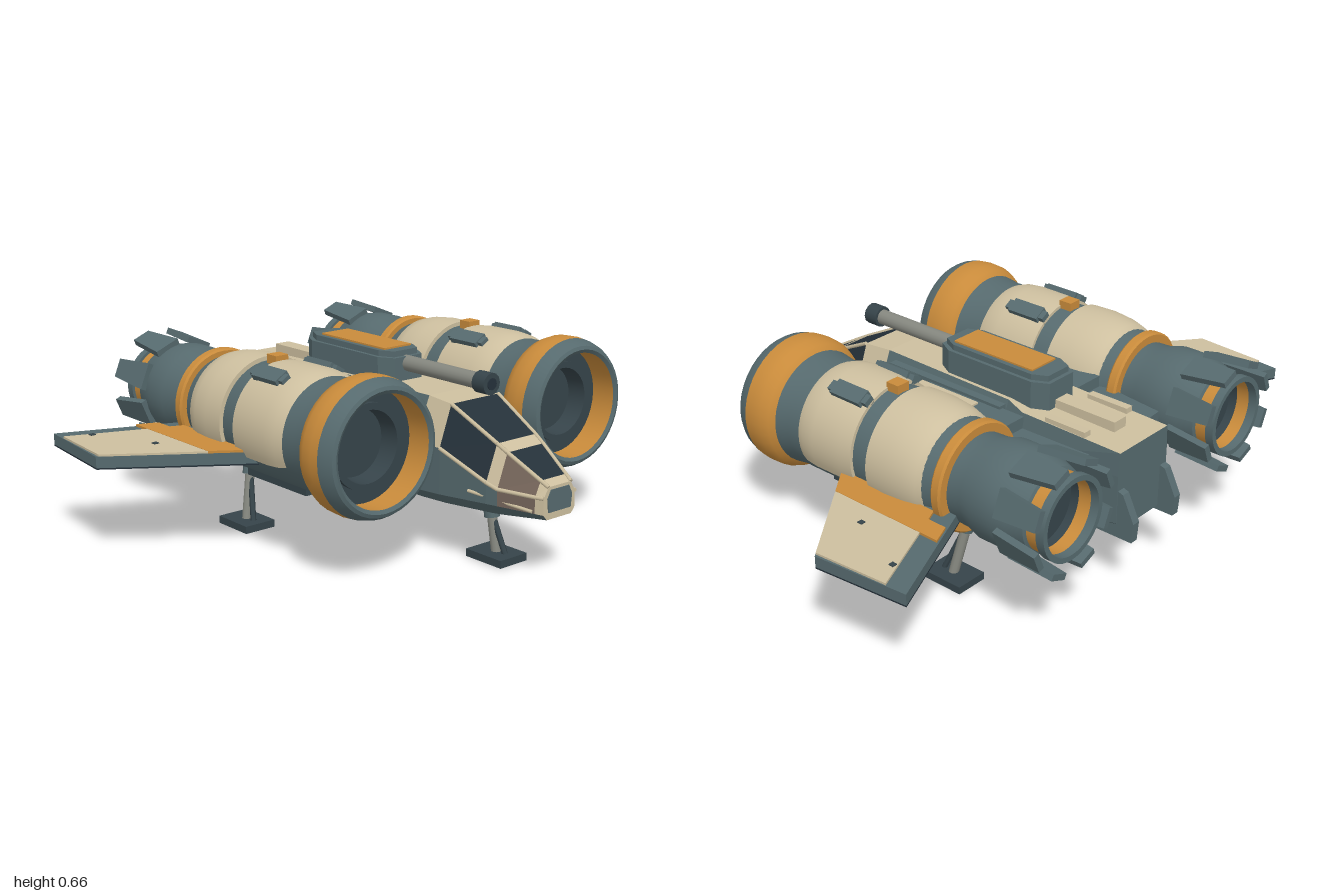
import * as THREE from 'three';
import { toCreasedNormals } from 'three/addons/utils/BufferGeometryUtils.js';

const material = (name, color) => {
  const m = new THREE.MeshStandardMaterial({ color });
  m.name = name;
  return m;
};
const slate = material('slate', 0x566a6e);
const dark = material('dark slate', 0x36444a);
const glass = material('dark glass', 0x25313a);
const brown = material('warm window', 0x75655a);
const cream = material('cream', 0xcdbf9f);
const orange = material('orange', 0xc98b3b);
const grey = material('strut grey', 0x85877f);

function add(parent, name, geo, mat, x = 0, y = 0, z = 0) {
  const mesh = new THREE.Mesh(geo, mat);
  mesh.name = name;
  mesh.position.set(x, y, z);
  parent.add(mesh);
  return mesh;
}
const box = (parent, name, mat, w, h, d, x, y, z) =>
  add(parent, name, new THREE.BoxGeometry(w, h, d), mat, x, y, z);

// Rod between two points
function bar(parent, name, mat, a, b, r, sides = 10) {
  const A = new THREE.Vector3(...a), B = new THREE.Vector3(...b);
  const mesh = add(parent, name, new THREE.CylinderGeometry(r, r, A.distanceTo(B), sides), mat);
  mesh.position.copy(A).lerp(B, 0.5);
  mesh.quaternion.setFromUnitVectors(new THREE.Vector3(0, 1, 0), B.sub(A).normalize());
  return mesh;
}

// Turned part along z, from [z, radius] points listed back to front on the outside
function turned(parent, name, mat, pts, arc = Math.PI) {
  const geo = new THREE.LatheGeometry(pts.map(([z, r]) => new THREE.Vector2(r, z)), 40, Math.PI - arc, arc * 2);
  geo.rotateX(Math.PI / 2);
  return add(parent, name, toCreasedNormals(geo, 0.6), mat);
}

// Flat plate from an [x, z] plan outline
function plate(parent, name, mat, pts, y, h, s) {
  const shape = new THREE.Shape(pts.map(([x, z]) => new THREE.Vector2(s * x, -z)));
  const geo = new THREE.ExtrudeGeometry(shape, { depth: h, bevelEnabled: false });
  geo.rotateX(-Math.PI / 2);
  return add(parent, name, geo, mat, 0, y, 0);
}

// Faceted hull through eight-sided sections, with one colour per facet
function hull(parent, name, sections, paint) {
  const rings = sections.map(([z, wb, yb, wm, y1, y2, wt, yt]) => {
    const half = [[wb, yb, z], [wm, y1, z], [wm, y2, z], [wt, yt, z]];
    return [...half, ...half.map(([x, y, k]) => [-x, y, k]).reverse()];
  });
  const faces = new Map();
  const tri = (m, ...p) => faces.set(m, [...(faces.get(m) || []), ...p.flat()]);
  for (let i = 0; i < rings.length - 1; i++) {
    for (let j = 0; j < 8; j++) {
      const k = (j + 1) % 8, f = rings[i], b = rings[i + 1], m = paint(i, j);
      tri(m, f[j], b[j], b[k]);
      tri(m, f[j], b[k], f[k]);
    }
  }
  const first = rings[0], last = rings[rings.length - 1];
  for (let j = 1; j < 7; j++) {
    tri(cream, first[0], first[j], first[j + 1]);
    tri(slate, last[0], last[j + 1], last[j]);
  }
  for (const [m, p] of faces) {
    const geo = new THREE.BufferGeometry();
    geo.setAttribute('position', new THREE.Float32BufferAttribute(p, 3));
    geo.computeVertexNormals();
    add(parent, `${name} ${m.name}`, geo, m);
  }
}

function engine(parent, s) {
  const g = new THREE.Group();
  g.name = s > 0 ? 'leftEngine' : 'rightEngine';
  g.position.set(s * 0.435, 0.432, 0);
  parent.add(g);

  // Nozzle, body and intake
  turned(g, 'nozzleInside', dark, [[-0.68, 0], [-0.68, 0.12], [-0.71, 0.12]]);
  turned(g, 'nozzleGlow', orange, [[-0.71, 0.12], [-0.755, 0.121]]);
  turned(g, 'nozzleRim', slate, [[-0.755, 0.121], [-0.785, 0.122], [-0.785, 0.14], [-0.755, 0.14], [-0.755, 0.13]]);
  turned(g, 'nozzleBand', orange, [[-0.755, 0.13], [-0.71, 0.13]]);
  turned(g, 'nozzle', slate, [[-0.71, 0.13], [-0.705, 0.14], [-0.65, 0.158], [-0.6, 0.167], [-0.52, 0.167], [-0.47, 0.152], [-0.415, 0.15]]);
  turned(g, 'rearRing', orange, [[-0.415, 0.15], [-0.415, 0.178], [-0.408, 0.184], [-0.382, 0.184], [-0.375, 0.178], [-0.375, 0.15]]);
  turned(g, 'body', slate, [[-0.375, 0.16], [-0.34, 0.17], [-0.29, 0.188], [0.19, 0.19], [0.25, 0.189], [0.305, 0.197]]);
  turned(g, 'cowlBand', orange, [[0.305, 0.197], [0.32, 0.215], [0.35, 0.227], [0.39, 0.229], [0.42, 0.226]]);
  turned(g, 'intakeLip', slate, [[0.42, 0.226], [0.45, 0.218], [0.468, 0.207], [0.473, 0.195], [0.465, 0.183]]);
  turned(g, 'intakeWall', orange, [[0.465, 0.183], [0.37, 0.186]]);
  turned(g, 'intakeFan', dark, [[0.37, 0.187], [0.37, 0.14], [0.39, 0.14], [0.39, 0.118], [0.32, 0.112], [0.32, 0]]);

  // Cream upper shells
  turned(g, 'frontShell', cream, [[-0.05, 0.185], [-0.05, 0.2], [0, 0.205], [0.12, 0.206], [0.17, 0.201], [0.2, 0.19]], 1.98);
  turned(g, 'rearShell', cream, [[-0.335, 0.17], [-0.315, 0.186], [-0.27, 0.198], [-0.2, 0.205], [-0.12, 0.203], [-0.12, 0.185]], 1.98);

  // Eight tapered nozzle petals
  const petal = new THREE.BoxGeometry(0.095, 0.022, 0.165);
  const p = petal.attributes.position;
  for (let i = 0; i < p.count; i++) if (p.getZ(i) < 0) p.setX(i, p.getX(i) * 0.7);
  for (let i = 0; i < 8; i++) {
    const pivot = new THREE.Group();
    pivot.name = 'petal';
    pivot.rotation.z = Math.PI / 8 + i * Math.PI / 4;
    g.add(pivot);
    add(pivot, 'petalPlate', petal, slate, 0, 0.174, -0.709).rotation.x = 0.07;
  }

  // Top fittings and belly box
  for (const t of [-1, 1]) {
    const pivot = new THREE.Group();
    pivot.name = 'topPod';
    pivot.rotation.z = t * 0.54;
    g.add(pivot);
    box(pivot, 'podBlock', slate, 0.055, 0.035, 0.13, 0, 0.205, 0.035);
    box(pivot, 'podEnds', slate, 0.035, 0.03, 0.17, 0, 0.204, 0.035);
  }
  box(g, 'topMarker', orange, 0.05, 0.03, 0.05, 0, 0.202, -0.07);
  box(g, 'bellyBox', dark, 0.15, 0.04, 0.315, 0, -0.177, 0.01);
}

function wing(parent, s) {
  const g = new THREE.Group();
  g.name = s > 0 ? 'leftWing' : 'rightWing';
  g.position.y = 0.012;
  g.rotation.z = -s * 0.013;
  parent.add(g);
  const outline = [[0.45, 0.13], [0.64, -0.01], [1, -0.28], [0.965, -0.615], [0.585, -0.45], [0.45, -0.39]];
  plate(g, 'wingSlab', slate, outline, 0.325, 0.038, s);
  plate(g, 'wingUnderside', glass, outline, 0.32, 0.005, s);
  plate(g, 'wingPanel', cream, [[0.715, -0.068], [0.992, -0.276], [0.97, -0.54], [0.715, -0.43]], 0.363, 0.007, s);
  plate(g, 'wingStripe', orange, [[0.6, 0.018], [0.715, -0.068], [0.715, -0.5], [0.645, -0.47], [0.645, -0.4], [0.6, -0.38]], 0.363, 0.008, s);
  for (const [x, z] of [[0.79, -0.26], [0.89, -0.49]]) box(g, 'wingHatch', dark, 0.018, 0.006, 0.018, s * x, 0.37, z);
  box(g, 'wingRoot', slate, 0.13, 0.04, 0.33, s * 0.59, 0.345, -0.2);
}

// Foot, leg, collar and brace
function gear(parent, name, x, z, topX, topY, topZ) {
  const g = new THREE.Group();
  g.name = name;
  parent.add(g);
  const at = (t) => [x + (topX - x) * t, 0.02 + (topY - 0.02) * t, z + (topZ - z) * t];
  box(g, 'foot', dark, 0.12, 0.026, 0.16, x, 0.013, z);
  bar(g, 'leg', grey, at(0), at(1), 0.017);
  bar(g, 'collar', slate, at(0.62), at(0.8), 0.026, 8);
  bar(g, 'brace', dark, [x, 0.025, z + 0.04], at(0.7), 0.01, 6);
}

export function createModel() {
  const model = new THREE.Group();
  model.name = 'spacecraft';

  // Fuselage: z, bottom width and y, middle width and its two ys, top width and y
  const sections = [
    [0.79, 0.055, 0.212, 0.07, 0.23, 0.285, 0.05, 0.318],
    [0.762, 0.061, 0.21, 0.08, 0.231, 0.285, 0.056, 0.334],
    [0.64, 0.09, 0.2, 0.122, 0.235, 0.29, 0.08, 0.402],
    [0.6, 0.1, 0.198, 0.132, 0.235, 0.305, 0.086, 0.424],
    [0.41, 0.125, 0.19, 0.155, 0.225, 0.38, 0.105, 0.518],
    [0.3, 0.13, 0.187, 0.16, 0.22, 0.38, 0.1, 0.525],
    [-0.25, 0.13, 0.187, 0.16, 0.22, 0.38, 0.105, 0.52],
    [-0.33, 0.125, 0.19, 0.155, 0.22, 0.4, 0.13, 0.51],
    [-0.72, 0.1, 0.215, 0.13, 0.25, 0.42, 0.125, 0.5],
  ];
  hull(model, 'fuselage', sections, (i, j) => {
    if (j === 0 || j > 5) return slate;
    if (i === 0) return cream;
    if (j === 3) return i === 1 || i === 3 ? glass : cream;
    if (i === 1) return brown;
    if (j === 1 || j === 5) return slate;
    return i === 3 ? glass : i < 5 ? cream : slate;
  });

  // Nose plate and canopy frame
  const nose = new THREE.Shape([[-0.05, 0.235], [0.05, 0.235], [0.055, 0.28], [0.04, 0.308], [-0.04, 0.308], [-0.055, 0.28]]
    .map(([x, y]) => new THREE.Vector2(x, y)));
  add(model, 'nosePlate', new THREE.ExtrudeGeometry(nose, { depth: 0.005, bevelEnabled: false }), slate, 0, 0, 0.788);
  for (const s of [-1, 1]) {
    for (let i = 0; i < 4; i++) {
      const a = sections[i], b = sections[i + 1];
      bar(model, 'canopyRail', cream, [s * a[6], a[7], a[0]], [s * b[6], b[7], b[0]], 0.007, 6);
      bar(model, 'canopySill', cream, [s * a[3], a[5], a[0]], [s * b[3], b[5], b[0]], 0.007, 6);
    }
    bar(model, 'sideTrim', cream, [s * 0.085, 0.238, 0.755], [s * 0.143, 0.265, 0.53], 0.006, 6);

    // Engine pylons, deck edges and tail fins
    plate(model, 'pylon', slate, [[0.13, 0.3], [0.2, 0.33], [0.26, 0.2], [0.29, -0.3], [0.25, -0.6], [0.12, -0.61]], 0.31, 0.15, s);
    box(model, 'upperPylon', slate, 0.13, 0.05, 0.4, s * 0.2, 0.475, -0.14);
    box(model, 'pylonPanel', cream, 0.08, 0.008, 0.25, s * 0.205, 0.502, -0.045);
    box(model, 'deckEdge', slate, 0.03, 0.03, 0.5, s * 0.135, 0.495, 0.0);
    box(model, 'deckBlock', cream, 0.03, 0.025, 0.16, s * 0.11, 0.51, -0.5);
    const fin = new THREE.Shape([[0.5, 0.2], [0.78, 0.2], [0.785, 0.27], [0.74, 0.36], [0.55, 0.42]]
      .map(([z, y]) => new THREE.Vector2(z, y)));
    const finGeo = new THREE.ExtrudeGeometry(fin, { depth: 0.03, bevelEnabled: false });
    finGeo.translate(0, 0, -0.015).rotateY(Math.PI / 2);
    add(model, 'tailFin', finGeo, slate, s * 0.112, 0, 0);

    engine(model, s);
    wing(model, s);
    gear(model, s > 0 ? 'leftGear' : 'rightGear', s * 0.42, -0.29, s * 0.365, 0.27, -0.325);
  }
  gear(model, 'frontGear', 0, 0.52, 0, 0.21, 0.485);

  // Top cannon
  const cannon = new THREE.Group();
  cannon.name = 'cannon';
  model.add(cannon);
  const body = [[-0.09, -0.33], [-0.06, -0.385], [0.06, -0.385], [0.09, -0.33], [0.09, 0.03], [0.06, 0.085], [-0.06, 0.085], [-0.09, 0.03]];
  const capOutline = body.map(([x, z]) => [x * 0.86, -0.15 + (z + 0.15) * 0.94]);
  plate(cannon, 'cannonBody', slate, body, 0.505, 0.1, 1);
  plate(cannon, 'cannonTop', slate, capOutline, 0.605, 0.02, 1);
  plate(cannon, 'cannonCover', orange, [[-0.06, -0.31], [0.06, -0.31], [0.06, 0.03], [-0.06, 0.03]], 0.625, 0.006, 1);
  bar(cannon, 'barrel', grey, [0, 0.58, 0.07], [0, 0.58, 0.44], 0.027, 16);
  bar(cannon, 'muzzle', dark, [0, 0.58, 0.43], [0, 0.58, 0.485], 0.037, 12);
  bar(cannon, 'bore', glass, [0, 0.58, 0.48], [0, 0.58, 0.488], 0.02, 12);
  box(cannon, 'deckRail', cream, 0.06, 0.035, 0.25, 0, 0.52, -0.5);

  return model;
}
